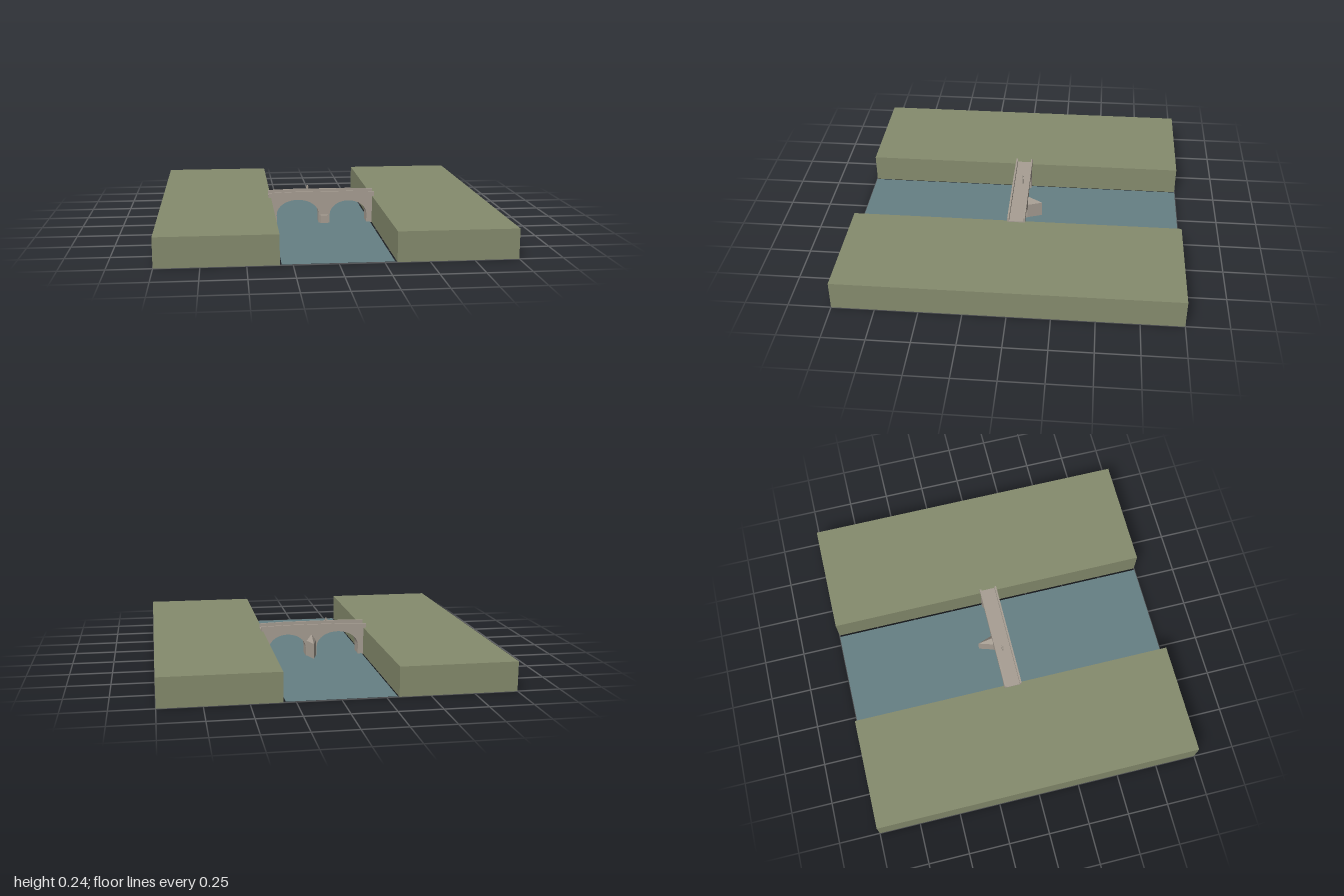
import * as THREE from 'three';
import { ConvexGeometry } from 'three/addons/geometries/ConvexGeometry.js';

const mat = (name, color) => {
  const m = new THREE.MeshStandardMaterial({ color, flatShading: true });
  m.name = name;
  return m;
};

export function createModel() {
  const group = new THREE.Group();
  const grass = mat('grass', 0x868c6e);
  const stone = mat('stone', 0xa89f94);
  const water = mat('water', 0x668084);
  water.side = THREE.DoubleSide;

  const add = (name, geometry, material) => {
    const mesh = new THREE.Mesh(geometry, material);
    mesh.name = name;
    group.add(mesh);
    return mesh;
  };
  // box given by its extents on each axis
  const box = (name, material, x0, x1, y0, y1, z0, z1) =>
    add(name, new THREE.BoxGeometry(x1 - x0, y1 - y0, z1 - z0), material)
      .position.set((x0 + x1) / 2, (y0 + y1) / 2, (z0 + z1) / 2);
  const hull = (name, points) =>
    add(name, new ConvexGeometry(points.map((p) => new THREE.Vector3(...p))), stone);
  // extrudes a front outline between -depth and +depth
  const extrude = (name, shape, z0, z1) => {
    const g = new THREE.ExtrudeGeometry(shape, { depth: z1 - z0, bevelEnabled: false, curveSegments: 20 });
    add(name, g.translate(0, 0, z0), stone);
  };

  // river banks and river
  box('leftBank', grass, 0.32, 1, 0, 0.172, -1, 1);
  box('rightBank', grass, -1, -0.322, 0, 0.172, -1, 1);
  add('river', new THREE.PlaneGeometry(0.62, 2).rotateX(-Math.PI / 2), water).position.set(-0.002, 0.004, 0);

  // bridge body with two unequal arches
  const body = new THREE.Shape();
  body.moveTo(-0.325, 0);
  const arches = [[-0.287, -0.02, 0.06, 0.155], [0.05, 0.285, 0.055, 0.145]];
  for (const [x0, x1, spring, crown] of arches) {
    body.lineTo(x0, 0);
    body.lineTo(x0, spring);
    body.absellipse((x0 + x1) / 2, spring, (x1 - x0) / 2, crown - spring, Math.PI, 0, true);
    body.lineTo(x1, 0);
  }
  body.lineTo(0.323, 0);
  body.lineTo(0.323, 0.174);
  body.lineTo(0.17, 0.177);
  body.lineTo(-0.18, 0.177);
  body.lineTo(-0.325, 0.174);
  extrude('bridgeBody', body, -0.05, 0.05);

  // deck and gently cambered parapets reaching onto the banks
  box('deck', stone, -0.337, 0.333, 0.168, 0.178, -0.05, 0.05);
  const parapet = new THREE.Shape([
    [-0.337, 0.17], [0.333, 0.17], [0.333, 0.201], [0.17, 0.206], [-0.18, 0.206], [-0.337, 0.201],
  ].map(([x, y]) => new THREE.Vector2(x, y)));
  extrude('frontParapet', parapet, 0.043, 0.054);
  extrude('backParapet', parapet, -0.054, -0.043);

  // low downstream buttress
  hull('frontButtress', [0, 0.055].flatMap((y) => [
    [-0.015, y, 0.045], [0.042, y, 0.045], [-0.01, y, 0.068], [0.036, y, 0.068],
  ]));

  // pointed upstream cutwater with a pyramid cap
  hull('backCutwater', [
    ...[0, 0.1].flatMap((y) => [[-0.017, y, -0.045], [0.046, y, -0.045], [0.013, y, -0.14]]),
    [0.013, 0.145, -0.045],
  ]);

  // small monument on the deck
  box('monumentBase', stone, -0.097, -0.077, 0.176, 0.214, -0.011, -0.002);
  box('monumentShaft', stone, -0.091, -0.083, 0.21, 0.236, -0.01, -0.003);
  box('monumentArms', stone, -0.095, -0.079, 0.221, 0.227, -0.01, -0.003);

  return group;
}
